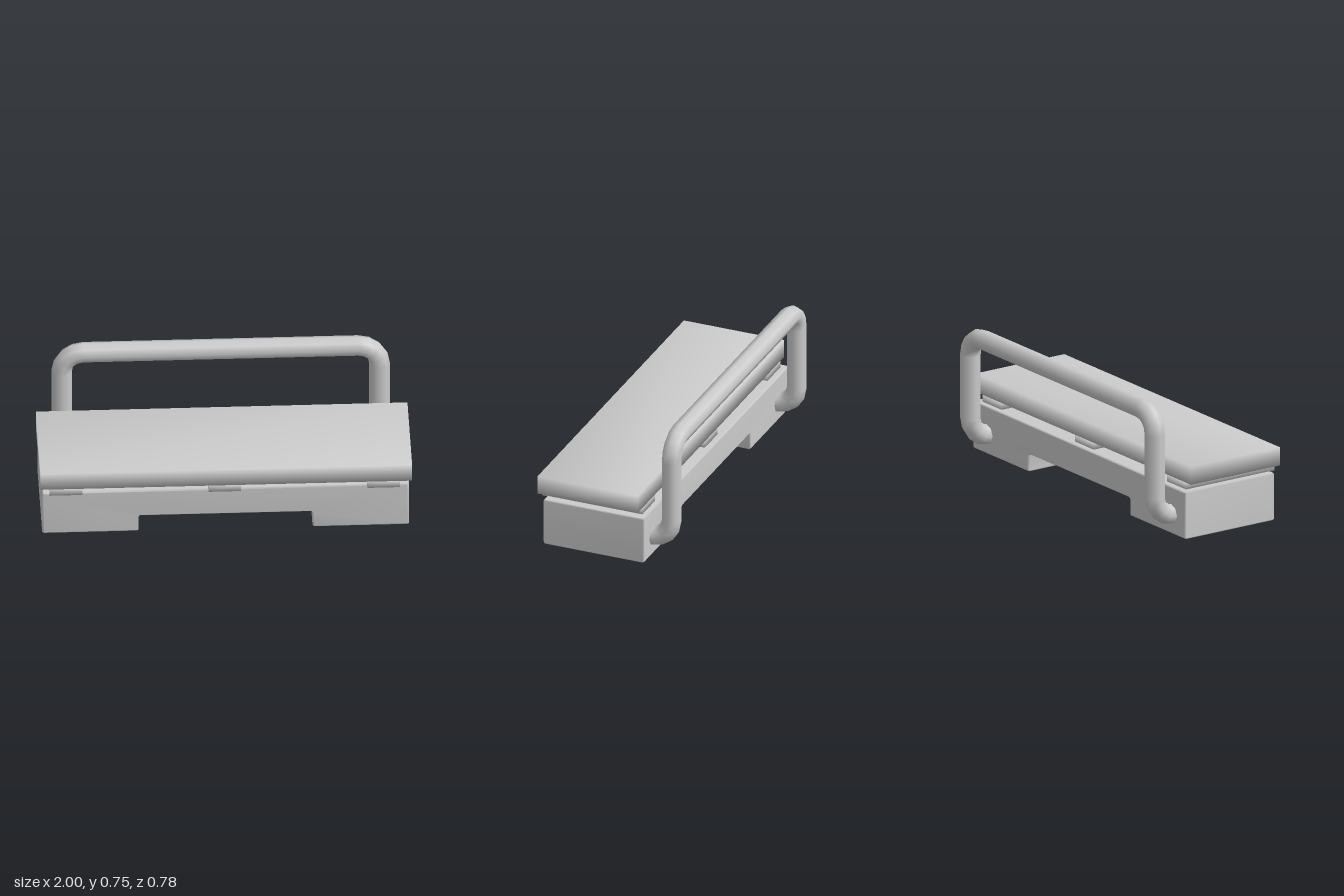
import * as THREE from 'three';
import { mergeVertices } from 'three/addons/utils/BufferGeometryUtils.js';

const material = new THREE.MeshStandardMaterial({ color: 0xcccccc });

// Share corners so that normals blend softly across edges
function smooth(geometry) {
  geometry.deleteAttribute('normal');
  geometry.deleteAttribute('uv');
  const merged = mergeVertices(geometry, 1e-4);
  merged.computeVertexNormals();
  return merged;
}

// Box given by its lower and upper limits
function block(x0, x1, y0, y1, z0, z1) {
  const g = new THREE.BoxGeometry(x1 - x0, y1 - y0, z1 - z0);
  g.translate((x0 + x1) / 2, (y0 + y1) / 2, (z0 + z1) / 2);
  return smooth(g);
}

// Path of straight runs and quarter bends with exact rings at each bend step
class BentRail extends THREE.Curve {
  constructor() {
    super();
    const X = 0.855, Z = -0.333, TOP = 0.696, R = 0.115, STEPS = 4;
    this.rings = [];
    const add = (p, t) => this.rings.push({ p: new THREE.Vector3(...p), t: new THREE.Vector3(...t) });
    add([-X, 0.11, -0.18], [0, 0, -1]);
    for (let i = 0; i <= STEPS; i++) {
      const a = (i / STEPS) * Math.PI / 2, s = Math.sin(a), c = Math.cos(a);
      add([-X, 0.11 + R * (1 - c), Z + R * (1 - s)], [0, s, -c]);
    }
    for (let i = 0; i <= STEPS; i++) {
      const a = (i / STEPS) * Math.PI / 2, s = Math.sin(a), c = Math.cos(a);
      add([-X + R * (1 - c), TOP - R * (1 - s), Z], [s, c, 0]);
    }
    // mirrored half
    for (const { p, t } of [...this.rings].reverse()) add([-p.x, p.y, p.z], [t.x, -t.y, -t.z]);
  }
  at(u) { return this.rings[Math.round(u * (this.rings.length - 1))]; }
  getPoint(u, target = new THREE.Vector3()) { return target.copy(this.at(u).p); }
  getPointAt(u, target) { return this.getPoint(u, target); }
  getTangent(u, target = new THREE.Vector3()) { return target.copy(this.at(u).t); }
  getTangentAt(u, target) { return this.getTangent(u, target); }
}

export function createModel() {
  const group = new THREE.Group();
  const add = (name, geometry) => {
    const mesh = new THREE.Mesh(geometry, material);
    mesh.name = name;
    group.add(mesh);
  };

  // Base: bridge-shaped block with two feet and chamfered edges
  const b = 0.008;
  const outline = [
    [-0.99 + b, 0], [-0.47 - b, 0], [-0.47, b], [-0.47, 0.1 - b], [-0.47 + b, 0.1],
    [0.465 - b, 0.1], [0.465, 0.1 - b], [0.465, b], [0.465 + b, 0], [0.985 - b, 0],
    [0.985, b], [0.985, 0.268 - b], [0.985 - b, 0.268], [-0.99 + b, 0.268], [-0.99, 0.268 - b], [-0.99, b],
  ].map(([x, y]) => new THREE.Vector2(x, y));
  const base = new THREE.ExtrudeGeometry(new THREE.Shape(outline), {
    depth: 0.59 - 2 * b, bevelEnabled: true, bevelSegments: 1,
    bevelSize: b, bevelThickness: b, bevelOffset: -b,
  });
  base.translate(0, 0, -0.226 + b);
  add('base', smooth(base));

  // Cross bars carrying the seat
  [-0.863, -0.008, 0.847].forEach((x, i) => {
    add(`crossBar${i + 1}`, block(x - 0.088, x + 0.088, 0.265, 0.309, -0.195, 0.388));
  });

  // Seat slab
  add('seat', block(-1, 1, 0.307, 0.41, -0.196, 0.39));

  // Bent rail that rises from the back of the base
  const path = new BentRail();
  add('backRail', new THREE.TubeGeometry(path, path.rings.length - 1, 0.056, 8, false));

  return group;
}
